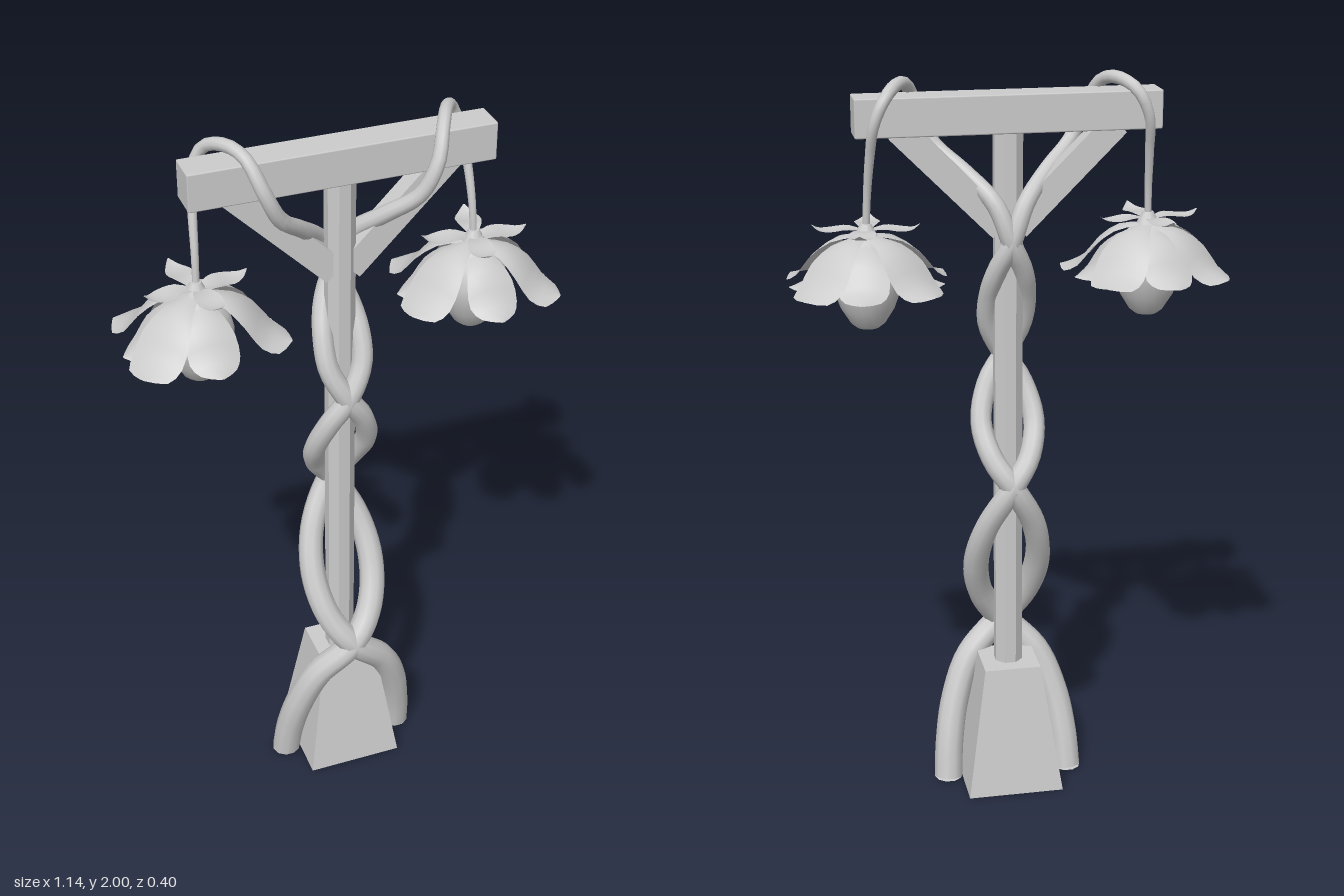
import * as THREE from 'three';
import { RoundedBoxGeometry } from 'three/addons/geometries/RoundedBoxGeometry.js';

const smooth = new THREE.MeshStandardMaterial({ color: 0xcccccc });
const flat = new THREE.MeshStandardMaterial({ color: 0xcccccc, flatShading: true });
const thin = new THREE.MeshStandardMaterial({ color: 0xcccccc, side: THREE.DoubleSide });
const AXIS_Z = 0.018;

function add(parent, name, geometry, material, x = 0, y = 0, z = 0) {
  const mesh = new THREE.Mesh(geometry, material);
  mesh.name = name;
  mesh.position.set(x, y, z);
  parent.add(mesh);
  return mesh;
}

// Tube whose radius thins along the path; each point is [x, y, z, radius]
function taperedTube(points, side) {
  const curve = new THREE.CatmullRomCurve3(points.map(p => new THREE.Vector3(p[0] * side, p[1], p[2])));
  const steps = 110, sides = 10;
  const geo = new THREE.TubeGeometry(curve, steps, 1, sides);
  const pos = geo.attributes.position, v = new THREE.Vector3();
  for (let i = 0; i <= steps; i++) {
    const centre = curve.getPointAt(i / steps);
    const t = curve.getUtoTmapping(i / steps) * (points.length - 1);
    const k = Math.min(Math.floor(t), points.length - 2);
    const r = THREE.MathUtils.lerp(points[k][3], points[k + 1][3], t - k);
    for (let j = 0; j <= sides; j++) {
      const n = i * (sides + 1) + j;
      v.fromBufferAttribute(pos, n).sub(centre).multiplyScalar(r).add(centre);
      pos.setXYZ(n, v.x, Math.max(0, v.y), v.z);
    }
  }
  return geo;
}

// Leaf-like sheet along +x; rows are [reach, height, halfWidth], edges droop by a factor
function petalGeometry(rows, droop) {
  const across = 6, pos = [], idx = [];
  const spine = new THREE.CatmullRomCurve3(rows.map(r => new THREE.Vector3(...r)));
  const steps = 10;
  for (let i = 0; i <= steps; i++) {
    const p = spine.getPoint(i / steps);
    for (let j = 0; j <= across; j++) {
      const s = (j / across) * 2 - 1;
      pos.push(p.x, p.y - droop * p.z * s * s, p.z * s);
      if (i < steps && j < across) {
        const a = i * (across + 1) + j, b = a + across + 1;
        idx.push(a, a + 1, b, a + 1, b + 1, b);
      }
    }
  }
  const geo = new THREE.BufferGeometry();
  geo.setAttribute('position', new THREE.Float32BufferAttribute(pos, 3));
  geo.setIndex(idx);
  geo.computeVertexNormals();
  return geo;
}

function flower(side) {
  const g = new THREE.Group();
  g.name = 'flowerLamp';
  g.position.set(0.37 * side, 0, 0.005);

  // Bulb
  const profile = [[0, 1.355], [0.03, 1.358], [0.045, 1.37], [0.07, 1.41], [0.088, 1.46],
    [0.09, 1.5], [0.078, 1.55], [0.045, 1.59], [0, 1.605]];
  add(g, 'bulb', new THREE.LatheGeometry(profile.map(p => new THREE.Vector2(...p)), 20), smooth);

  // Rings of four: wide petals, pointed petals between them, sepals on top
  const rings = [
    ['widePetal', [[0.02, 1.6, 0.02], [0.08, 1.59, 0.045], [0.13, 1.555, 0.068], [0.17, 1.505, 0.072],
      [0.21, 1.482, 0.058], [0.235, 1.475, 0.004]], 0.2, [41, 130, 206, 322]],
    ['pointedPetal', [[0.02, 1.59, 0.02], [0.07, 1.575, 0.045], [0.11, 1.545, 0.062], [0.14, 1.5, 0.064],
      [0.17, 1.478, 0.045], [0.2, 1.468, 0.003]], 0.25, [-6, 80, 174, 270]],
    ['sepal', [[0.01, 1.612, 0.012], [0.05, 1.617, 0.03], [0.09, 1.612, 0.033], [0.12, 1.615, 0.018],
      [0.138, 1.628, 0.002]], -0.1, [-8, 77, 172, 261]],
  ];
  // Angles run counterclockwise seen from above, mirrored for the other side
  for (const [name, rows, droop, angles] of rings) {
    const geo = petalGeometry(rows, droop);
    for (const deg of angles) {
      const a = THREE.MathUtils.degToRad(deg);
      add(g, name, geo, thin).rotation.y = side > 0 ? a : Math.PI - a;
    }
  }
  add(g, 'calyx', new THREE.CylinderGeometry(0.014, 0.03, 0.03, 10), smooth, 0, 1.615, 0);
  return g;
}

export function createModel() {
  const model = new THREE.Group();
  model.name = 'flowerStreetLamp';

  // Tapered foot
  const foot = new THREE.CylinderGeometry(0.078 * Math.SQRT2, 0.133 * Math.SQRT2, 0.365, 4);
  foot.rotateY(Math.PI / 4);
  add(model, 'foot', foot, flat, 0, 0.1825, AXIS_Z);

  // Post and crossbeam
  const post = new THREE.CylinderGeometry(0.04, 0.04, 1.52, 8);
  post.rotateY(Math.PI / 8);
  add(model, 'post', post, flat, 0, 1.11, AXIS_Z);
  add(model, 'crossbeam', new RoundedBoxGeometry(0.79, 0.1, 0.09, 1, 0.004), smooth, 0, 1.9, AXIS_Z);

  // Vine path: winds around the post, over the beam, and down to the flower
  const vine = [
    [0.172, 0, 0.025, 0.04], [0.165, 0.1, 0.045, 0.04], [0.143, 0.22, 0.075, 0.04],
    [0.095, 0.34, 0.105, 0.039], [0, 0.44, 0.127, 0.037], [-0.06, 0.53, 0.095, 0.036],
    [-0.086, 0.65, 0.038, 0.035], [-0.065, 0.78, -0.02, 0.033], [0, 0.905, -0.057, 0.031],
    [0.05, 0.98, -0.03, 0.03], [0.072, 1.07, 0.025, 0.029], [0.045, 1.17, 0.068, 0.029],
    [0, 1.24, 0.08, 0.029], [-0.045, 1.33, 0.06, 0.028], [-0.05, 1.41, 0.03, 0.028],
    [-0.035, 1.49, -0.01, 0.027], [0, 1.57, -0.036, 0.026], [0.04, 1.67, -0.02, 0.024],
    [0.11, 1.745, 0.045, 0.022], [0.18, 1.81, 0.095, 0.02], [0.22, 1.89, 0.103, 0.019],
    [0.25, 1.965, 0.06, 0.017], [0.28, 1.98, 0.005, 0.017], [0.32, 1.955, -0.055, 0.016],
    [0.35, 1.89, -0.06, 0.014], [0.36, 1.8, -0.03, 0.012], [0.366, 1.7, -0.005, 0.01],
    [0.37, 1.6, 0.005, 0.009],
  ];

  for (const side of [1, -1]) {
    // Diagonal brace
    const brace = add(model, 'brace', new THREE.BoxGeometry(0.37, 0.07, 0.052), flat,
      0.15 * side, 1.735, AXIS_Z);
    brace.rotation.z = side * Math.PI / 4;

    add(model, 'vine', taperedTube(vine, side), smooth);
    // Closing disc under the vine
    const end = add(model, 'vineEnd', new THREE.CircleGeometry(0.04, 10), thin, 0.172 * side, 0.001, 0.025);
    end.rotation.x = Math.PI / 2;

    model.add(flower(side));
  }
  return model;
}
